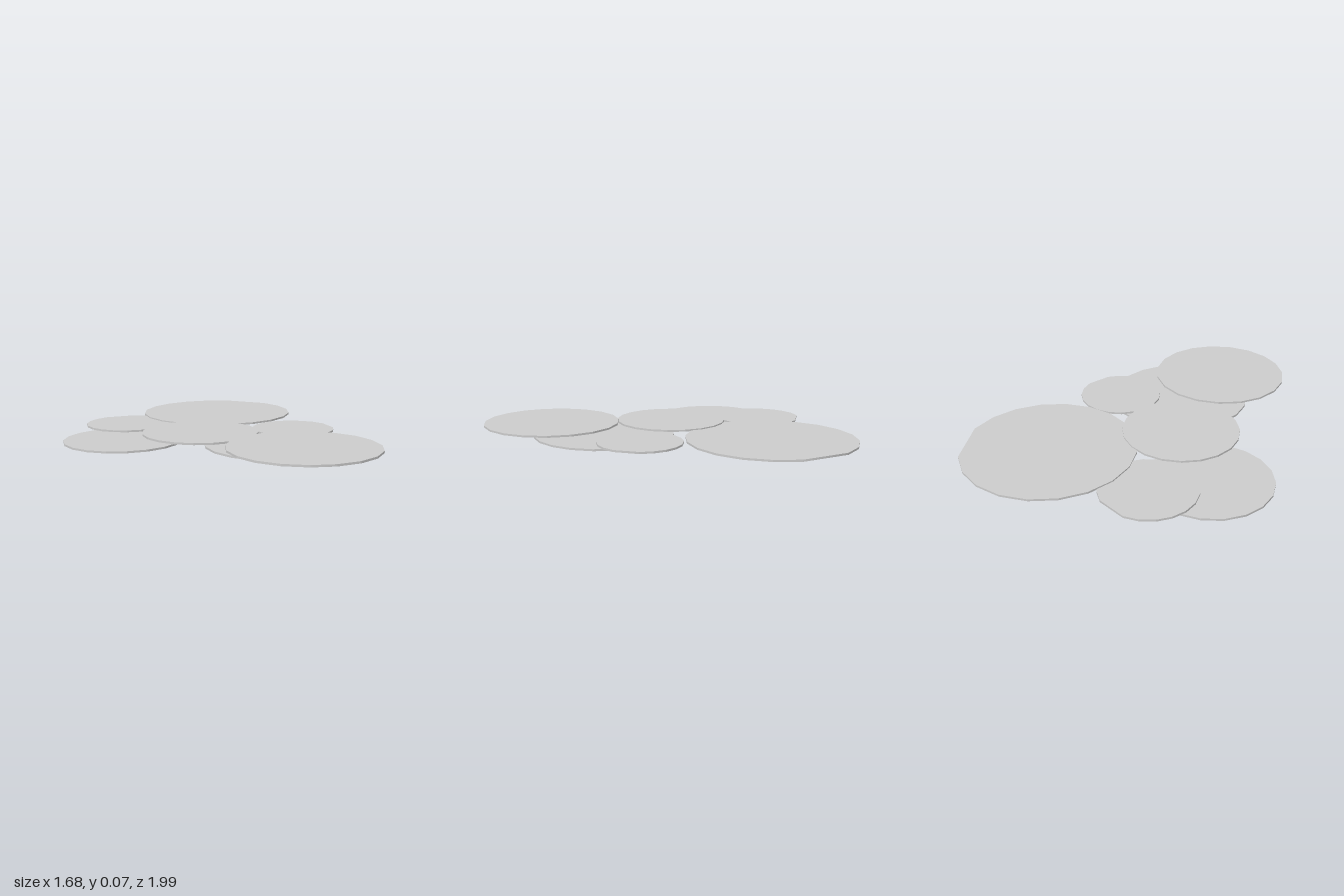
import * as THREE from 'three';

const padMaterial = new THREE.MeshStandardMaterial({ color: 0xcccccc, flatShading: true });
const notchMaterial = new THREE.MeshStandardMaterial({ color: 0xcccccc, side: THREE.DoubleSide });
const THICKNESS = 0.011;

// x, z, radius, base height, notch edges in degrees (from +x towards +z), notch tip offset
const PADS = [
  { name: 'leftPad', x: -0.51, z: -0.468, r: 0.333, y: 0, notch: [-136.7, -117.4] },
  { name: 'lowerPad', x: -0.1, z: 0.318, r: 0.405, y: 0.015 },
  { name: 'smallBackPad', x: -0.26, z: -0.69, r: 0.255, y: 0.032, notch: [-82, -43.7], tip: [0.02, -0.065] },
  { name: 'smallFrontPad', x: 0.231, z: 0.178, r: 0.238, y: 0.031, notch: [13.8, 48.3], tip: [0.063, 0.022] },
  { name: 'largePad', x: 0.363, z: -0.528, r: 0.473, y: 0.039, notch: [-32, 3.6] },
  { name: 'middlePad', x: -0.246, z: -0.12, r: 0.326, y: 0.046 },
  { name: 'frontPad', x: -0.273, z: 0.6, r: 0.396, y: 0.062, notch: [123.6, 141.6] },
];

// Thin disc sector whose cap centres sit on the notch tip
function sector(r, segments, startDeg, lengthDeg, tip) {
  const rad = THREE.MathUtils.degToRad;
  const g = new THREE.CylinderGeometry(r, r, THICKNESS, segments, 1, false, rad(startDeg), rad(lengthDeg));
  const p = g.attributes.position;
  for (let i = 0; i < p.count; i++) {
    if (Math.hypot(p.getX(i), p.getZ(i)) < 1e-6) {
      p.setX(i, tip[0]);
      p.setZ(i, tip[1]);
    }
  }
  return g;
}

function buildPad({ name, x, z, r, y, notch, tip = [0, 0] }) {
  const pad = new THREE.Group();
  pad.name = name;
  pad.position.set(x, y + THICKNESS / 2, z);

  const [from, to] = notch || [0, 0];
  const leaf = new THREE.Mesh(sector(r, notch ? 18 : 20, 90 - from, 360 - (to - from), tip), padMaterial);
  leaf.name = 'leaf';
  pad.add(leaf);

  // Notch: an inward-facing wedge that shades opposite to the leaf
  if (notch) {
    const g = sector(r, 1, 90 - to, to - from, tip);
    g.index.array.reverse();
    const wedge = new THREE.Mesh(g, notchMaterial);
    wedge.name = 'notch';
    pad.add(wedge);
  }
  return pad;
}

export function createModel() {
  const model = new THREE.Group();
  model.name = 'lilyPads';
  for (const spec of PADS) model.add(buildPad(spec));
  return model;
}
